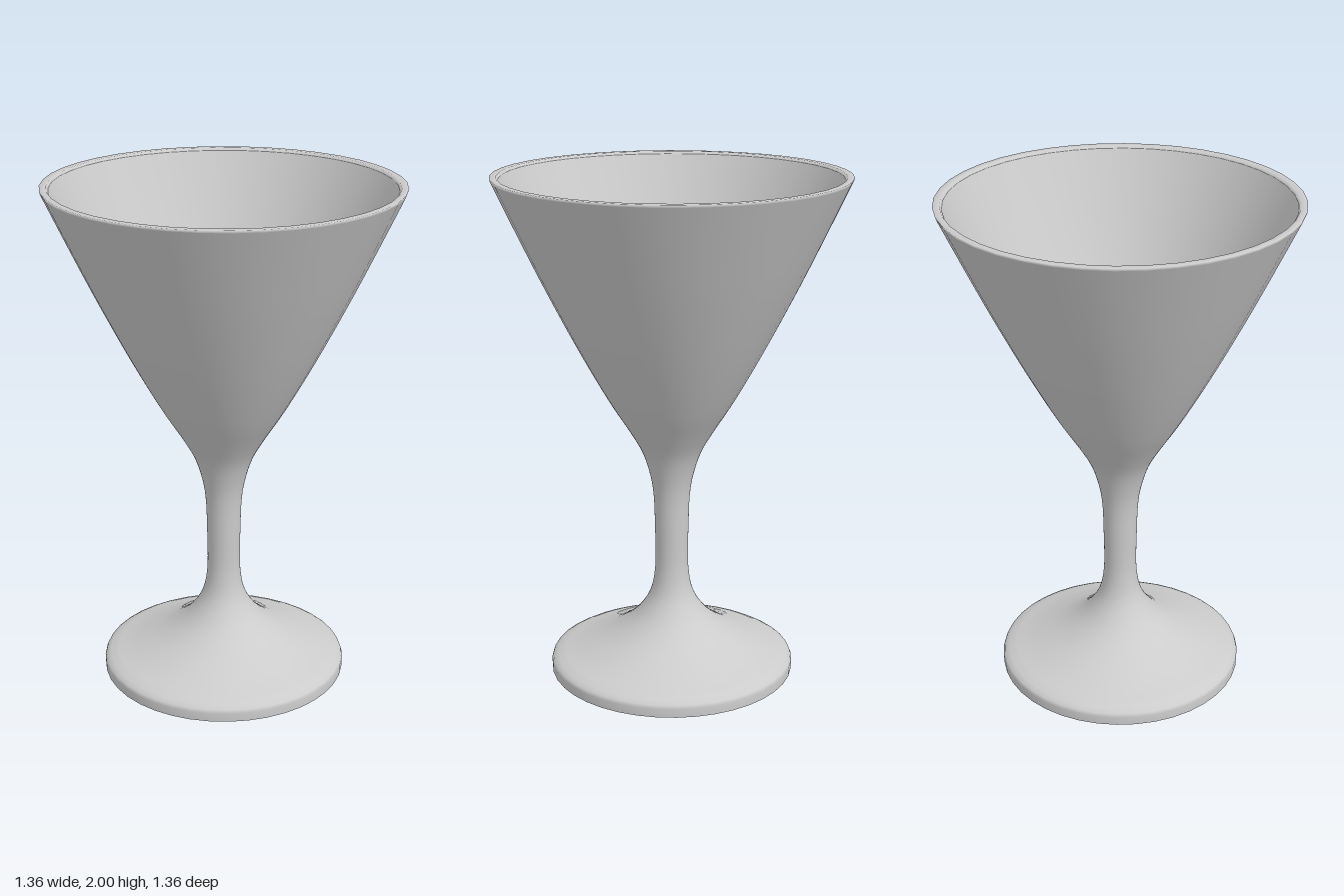
import * as THREE from 'three';

const SEGMENTS = 40;
const material = new THREE.MeshStandardMaterial({ color: 0xcccccc, side: THREE.DoubleSide });

// Revolve a [radius, height] profile; optionally smoothed by a spline
function revolve(name, profile, samples = 0) {
  let points = profile.map(([r, y]) => new THREE.Vector2(r, y));
  if (samples) points = new THREE.SplineCurve(points).getPoints(samples);
  points.forEach((p) => { p.x = Math.max(p.x, 0); });
  const mesh = new THREE.Mesh(new THREE.LatheGeometry(points, SEGMENTS), material);
  mesh.name = name;
  return mesh;
}

export function createModel() {
  const goblet = new THREE.Group();
  goblet.name = 'goblet';

  // Hollow underside of the foot, from the axis out to the standing ring
  goblet.add(revolve('footUnderside', [
    [0, 0.24], [0.05, 0.225], [0.12, 0.17], [0.22, 0.115], [0.34, 0.07], [0.43, 0.04], [0.465, 0.015], [0.47, 0],
  ], 24));
  goblet.add(revolve('standingRing', [[0.47, 0], [0.488, 0]]));

  // Foot edge with a rounded shoulder
  goblet.add(revolve('footEdge', [[0.488, 0], [0.489, 0.035], [0.484, 0.049], [0.465, 0.06], [0.44, 0.07]]));

  // Foot top, stem and outside of the bowl in one flowing curve
  goblet.add(revolve('footStemAndBowl', [
    [0.44, 0.07], [0.36, 0.098], [0.25, 0.15], [0.165, 0.21], [0.11, 0.275], [0.08, 0.34],
    [0.067, 0.42], [0.065, 0.5], [0.067, 0.6], [0.071, 0.72], [0.084, 0.81], [0.115, 0.91],
    [0.165, 1.0], [0.235, 1.11], [0.315, 1.25], [0.4, 1.41], [0.5, 1.61], [0.59, 1.8], [0.678, 1.99],
  ], 72));

  // Rim
  goblet.add(revolve('rim', [[0.678, 1.99], [0.681, 2], [0.655, 2], [0.648, 1.99]]));

  // Inside of the bowl, down to its rounded bottom
  goblet.add(revolve('bowlInside', [
    [0.648, 1.99], [0.56, 1.8], [0.47, 1.61], [0.37, 1.41], [0.285, 1.25], [0.205, 1.11], [0.15, 1.035], [0.08, 0.985], [0, 0.97],
  ], 36));

  return goblet;
}
